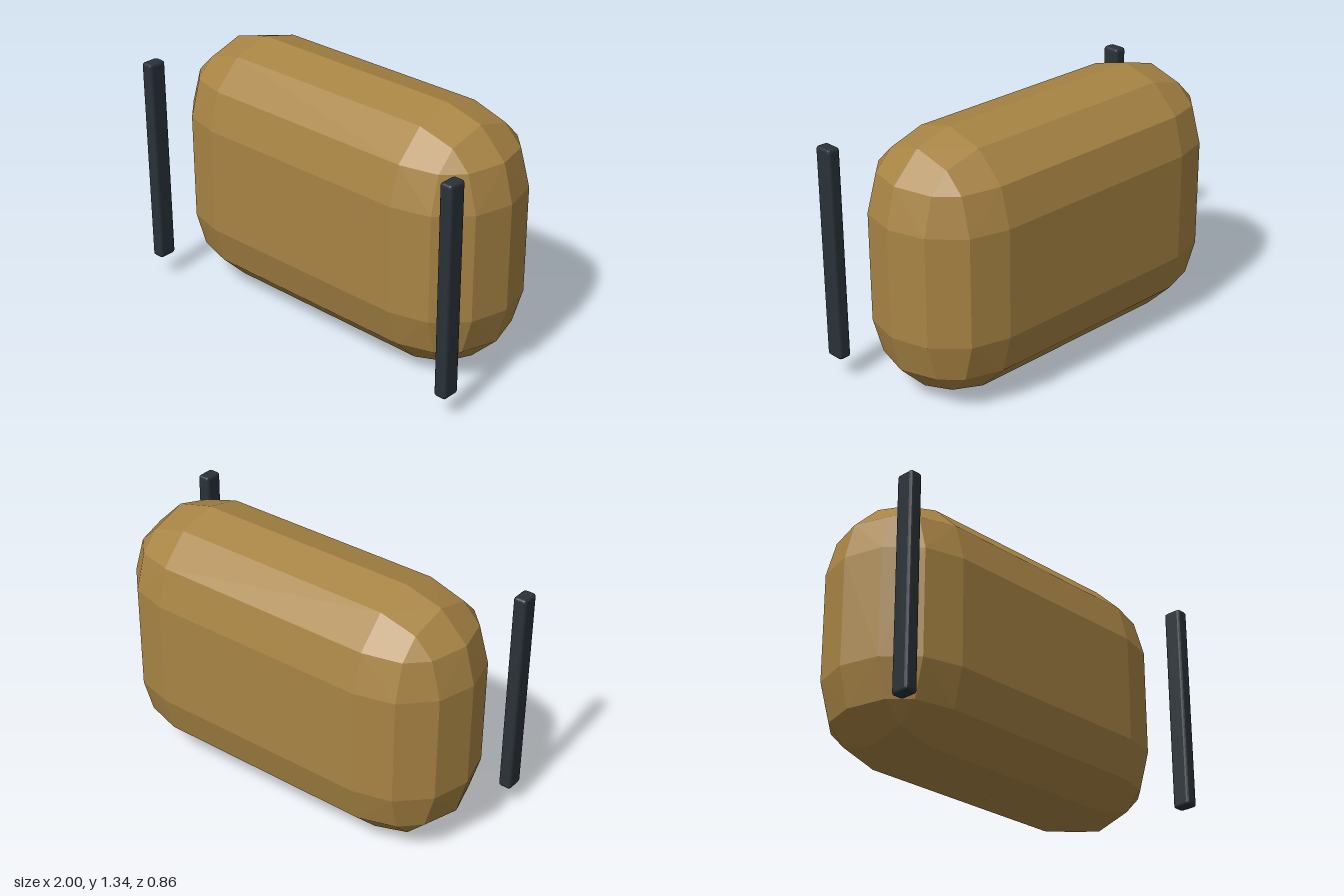
import * as THREE from 'three';
import { ConvexGeometry } from 'three/addons/geometries/ConvexGeometry.js';

// Faceted rounded block: three bevel steps per edge, corners of radius r
function bevelledBlock(width, height, depth, r) {
  const core = [width / 2 - r, height / 2 - r, depth / 2 - r];
  const c = Math.cos(Math.PI / 6), s = 0.5;
  const k = 0.485, m = Math.sqrt(1 - 2 * k * k);
  // Directions of one corner, turned through the three axes
  const dirs = [[1, 0, 0], [c, s, 0], [s, c, 0], [m, k, k]];
  const points = new Map();
  for (const d of dirs) for (let turn = 0; turn < 3; turn++)
    for (const sx of [-1, 1]) for (const sy of [-1, 1]) for (const sz of [-1, 1]) {
      const p = [sx, sy, sz].map((sign, i) => sign * (core[i] + r * d[(i + turn) % 3]));
      points.set(p.map(v => Math.round(v * 1e4)).join(), new THREE.Vector3(...p));
    }
  return new ConvexGeometry([...points.values()]);
}

export function createModel() {
  const model = new THREE.Group();
  const tan = new THREE.MeshStandardMaterial({ color: 0xa88444, flatShading: true });
  const dark = new THREE.MeshStandardMaterial({ color: 0x2a3238, flatShading: true });

  // Padded body, as deep as its two edge radii
  const body = new THREE.Mesh(bevelledBlock(1.96, 1.335, 0.782, 0.39), tan);
  body.name = 'body';
  body.position.set(0, 0.6675, -0.038);
  model.add(body);

  // Upright straps standing free at the front corners
  const strapShape = bevelledBlock(0.068, 1.1, 0.098, 0.015);
  for (const [name, side] of [['leftStrap', 1], ['rightStrap', -1]]) {
    const strap = new THREE.Mesh(strapShape, dark);
    strap.name = name;
    strap.position.set(side * 0.966, 0.67, 0.38);
    model.add(strap);
  }
  return model;
}
